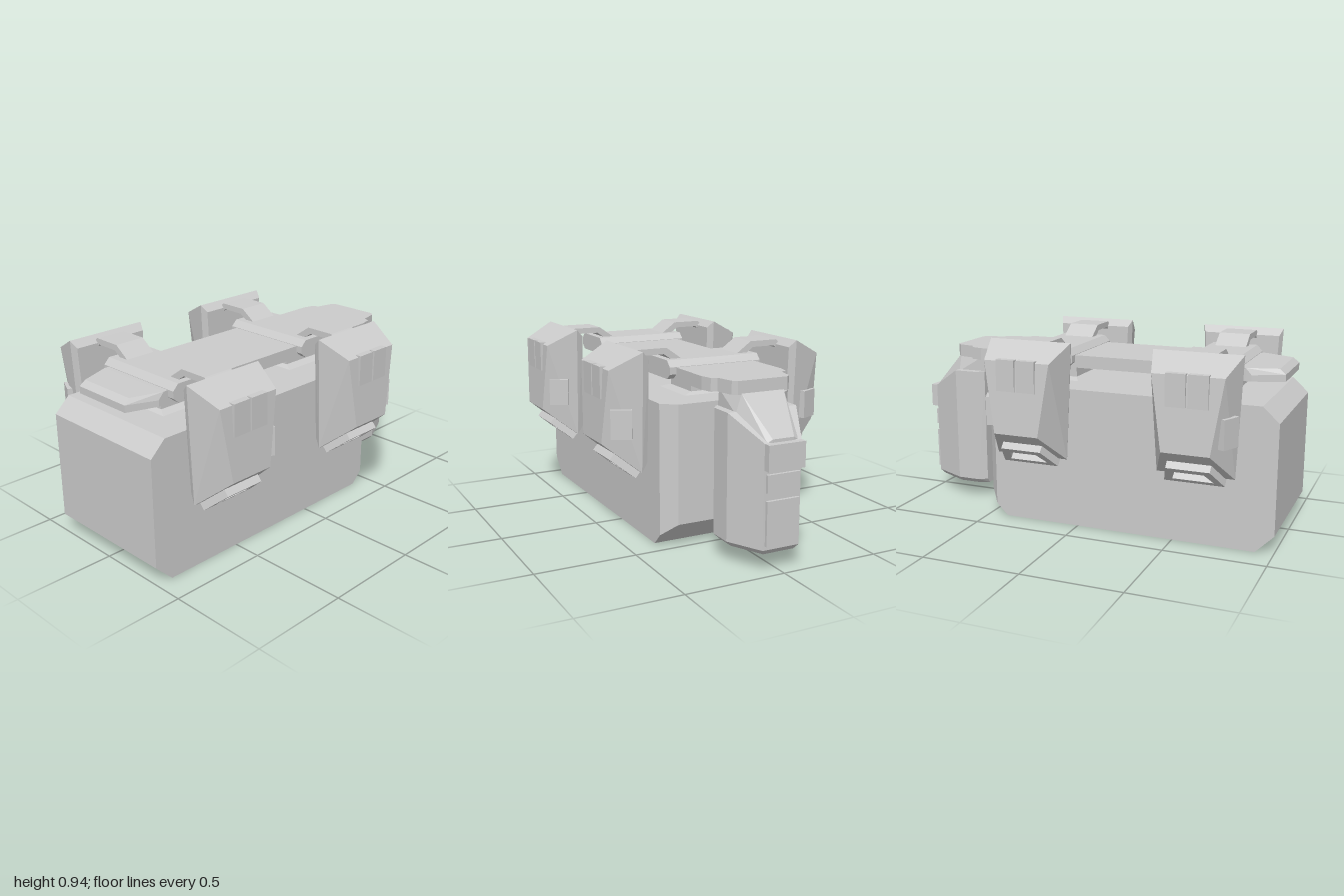
import * as THREE from 'three';
import { ConvexGeometry } from 'three/addons/geometries/ConvexGeometry.js';

const mat = new THREE.MeshStandardMaterial({ color: 0xcccccc, flatShading: true });

function part(name, geometry, parent, x = 0, y = 0, z = 0) {
  const mesh = new THREE.Mesh(geometry, mat);
  mesh.name = name;
  mesh.position.set(x, y, z);
  parent.add(mesh);
  return mesh;
}

// Convex solid from points mirrored across one axis
function hull(points, axis = 'x') {
  const all = [];
  for (const p of points) {
    const a = new THREE.Vector3(...p);
    const b = a.clone();
    b[axis] *= -1;
    all.push(a, b);
  }
  return new ConvexGeometry(all);
}

const box = (w, h, d) => new THREE.BoxGeometry(w, h, d);
const shapeOf = (pts) => new THREE.Shape(pts.map((p) => new THREE.Vector2(...p)));
const extrude = (shape, depth) => new THREE.ExtrudeGeometry(shape, { depth, bevelEnabled: false });

// Side pod, centred on z = 0, on the +x side
function createPod(knobSide) {
  const pod = new THREE.Group();
  pod.name = 'sidePod';
  part('podShell', hull([
    [0.42, 0.945, 0.215], [0.42, 0.365, 0.19],
    [0.385, 0.91, 0.2], [0.385, 0.41, 0.175],
    [0.575, 0.865, 0.17], [0.595, 0.51, 0.115],
  ], 'z'), pod);

  // Pair of raised outer panels
  for (const s of [-1, 1]) part('podPanel', box(0.04, 0.153, 0.095), pod, 0.57, 0.798, s * 0.053);

  // Open vent frame on the slanted lower face
  const frame = shapeOf([[-0.147, 0], [0.147, 0], [0.105, 0.149], [-0.105, 0.149]]);
  frame.holes.push(new THREE.Path([[-0.1, 0.03], [-0.07, 0.112], [0.07, 0.112], [0.1, 0.03]]
    .map((p) => new THREE.Vector2(...p))));
  const vent = part('podVent', extrude(frame, 0.05), pod, 0.403, 0.368, 0);
  vent.quaternion.setFromRotationMatrix(new THREE.Matrix4().makeBasis(
    new THREE.Vector3(0, 0, -1),
    new THREE.Vector3(0.77, 0.638, 0),
    new THREE.Vector3(0.638, -0.77, 0)));

  // Small block on one sloping end
  const knob = part('podBlock', box(0.1, 0.14, 0.06), pod, 0.512, 0.61, knobSide * 0.165);
  knob.rotation.y = knobSide * 0.44;

  // Bent arm reaching over from the cross bracket
  const arm = extrude(shapeOf([
    [0.155, 0.878], [0.235, 0.935], [0.385, 0.935], [0.41, 0.915],
    [0.395, 0.885], [0.372, 0.905], [0.25, 0.905], [0.21, 0.878],
  ]), 0.16);
  arm.translate(0, 0, -0.08);
  part('podArm', arm, pod);
  return pod;
}

export function createModel() {
  const root = new THREE.Group();
  root.name = 'model';

  // Main container with chamfered edges
  part('mainBody', hull([
    [0.355, 0.09, 1], [0.355, 0.63, 1], [0.355, 0.705, 0.92], [0.355, 0, 0.91],
    [0.355, 0, -0.4], [0.355, 0.06, -0.46], [0.355, 0.705, -0.46],
    [0.285, 0.12, -0.52], [0.285, 0.705, -0.52],
  ]), root);

  // Long top plate with stepped rear end and tapered nose
  const half = [[0.215, -0.8], [0.215, 0.61], [0.2, 0.67], [0.17, 0.68], [0.15, 0.77], [0.13, 0.79]];
  const outline = [...half, ...half.map(([x, y]) => [-x, y]).reverse()];
  const plate = extrude(shapeOf(outline), 0.063);
  plate.rotateX(-Math.PI / 2);
  part('topPlate', plate, root, 0, 0.785, 0);
  part('plateNose', hull([
    [0.215, 0.785, 0.8], [0.215, 0.848, 0.8], [0.215, 0.785, 0.83], [0.215, 0.815, 0.83],
    [0.165, 0.785, 0.98], [0.165, 0.82, 0.98], [0.16, 0.845, 0.95],
  ]), root);

  for (const z of [0.63, -0.215]) {
    // Cross bracket and the post that carries it
    const bracket = extrude(shapeOf([
      [-0.145, 0.815], [-0.115, 0.79], [0.115, 0.79], [0.145, 0.815],
      [0.145, 0.85], [0.115, 0.88], [-0.115, 0.88], [-0.145, 0.85],
    ]), 0.5);
    bracket.translate(0, 0, -0.25);
    bracket.rotateY(Math.PI / 2);
    part('crossBracket', bracket, root, 0, 0, z);
    part('bracketPost', box(0.235, 0.1, 0.22), root, 0, 0.745, z);
    part('postFoot', hull([
      [0.185, 0.7, 0.15], [0.185, 0.7, -0.15], [0.12, 0.717, 0.11], [0.12, 0.717, -0.11],
    ]), root, 0, 0, z);

    // Pods on both sides
    const left = createPod(-1);
    left.position.z = z;
    const right = createPod(z > 0 ? -1 : 1);
    right.rotation.y = Math.PI;
    right.position.z = z;
    root.add(left, right);
  }

  // Rear hanging unit: tapered in plan, with sloping top and chamfered base
  const tail = new THREE.Group();
  tail.name = 'tailUnit';
  root.add(tail);
  part('tailBody', hull([
    [0.15, 0.71, -0.63], [0.15, 0.11, -0.63], [0.18, 0.71, -0.67], [0.18, 0.11, -0.67],
    [0.18, 0.71, -0.79], [0.18, 0.11, -0.79], [0.095, 0.6, -0.965], [0.095, 0.11, -0.965],
    [0.13, 0.085, -0.63], [0.155, 0.085, -0.68], [0.155, 0.085, -0.79], [0.08, 0.085, -0.945],
  ]), tail);
  part('tailNeck', hull([
    [0.14, 0.79, -0.64], [0.14, 0.7, -0.63], [0.14, 0.7, -0.79],
    [0.11, 0.79, -0.79], [0.055, 0.615, -0.965], [0.08, 0.6, -0.96], [0.055, 0.58, -0.965],
  ]), tail);
  part('tailBlock', box(0.19, 0.12, 0.05), tail, 0, 0.54, -0.975);
  part('tailUpperPanel', box(0.17, 0.085, 0.03), tail, 0, 0.418, -0.965);
  part('tailLowerPanel', box(0.17, 0.21, 0.03), tail, 0, 0.235, -0.965);

  return root;
}
